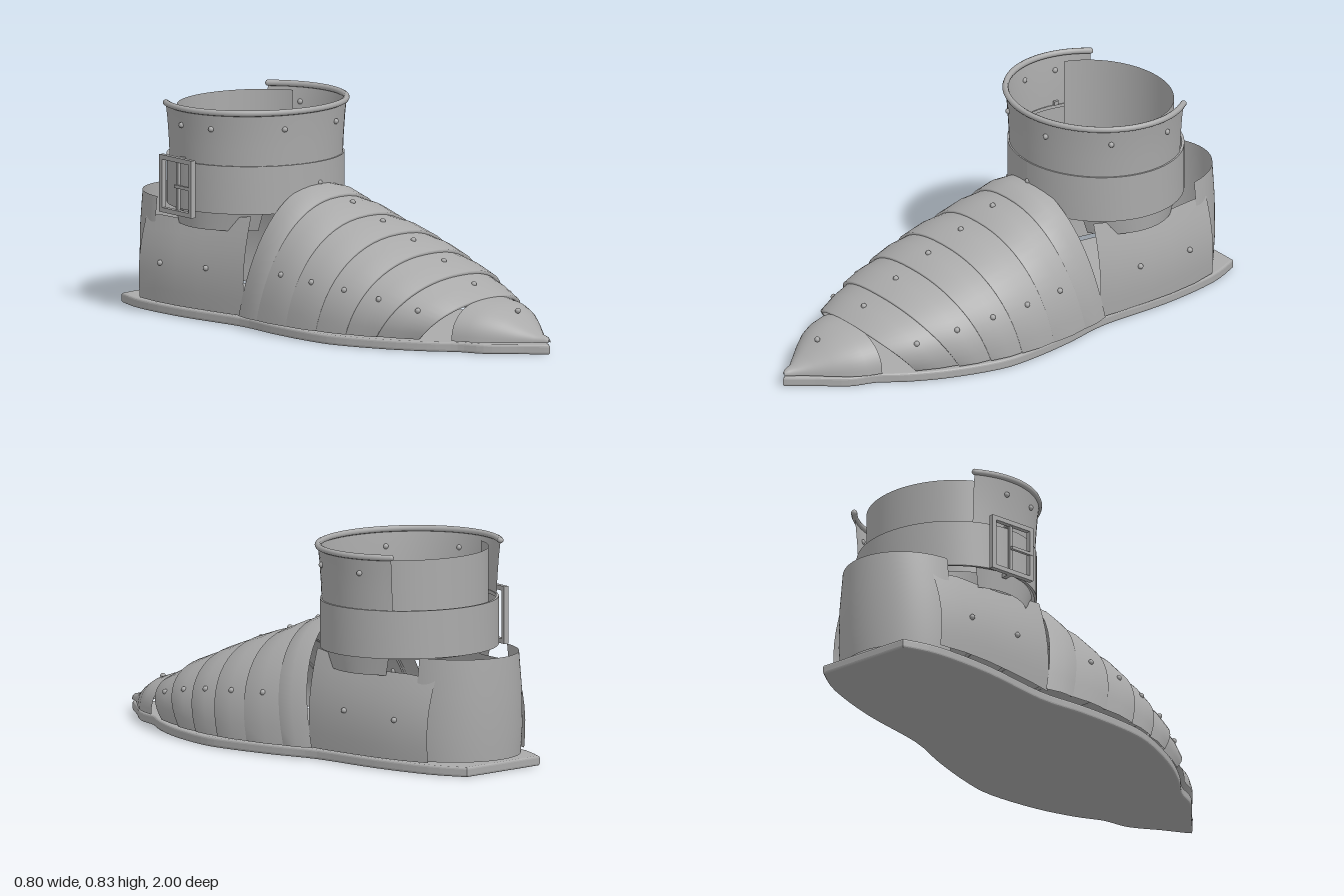
import * as THREE from 'three';

const steel = new THREE.MeshStandardMaterial({ color: 0xaaaaaa, side: THREE.DoubleSide });
steel.name = 'steel grey';

export function createModel() {
  const root = new THREE.Group();
  root.name = 'armoured shoe';

  const add = (geometry, name, parent = root) => {
    const mesh = new THREE.Mesh(geometry, steel);
    mesh.name = name;
    parent.add(mesh);
    return mesh;
  };

  // Smooth sheet through rows of points
  const loft = (rows) => {
    const n = rows[0].length, index = [];
    for (let i = 0; i < rows.length - 1; i++)
      for (let j = 0; j < n - 1; j++) {
        const a = i * n + j, b = a + n;
        index.push(a, b, a + 1, b, b + 1, a + 1);
      }
    const g = new THREE.BufferGeometry().setFromPoints(rows.flat());
    g.setIndex(index);
    g.computeVertexNormals();
    return g;
  };

  const rivetGeometry = new THREE.SphereGeometry(0.011, 10, 6);
  const rivet = (p) => add(rivetGeometry, 'rivet').position.copy(p);

  // Leaning arch over the foot: crown z, foot z, half width, crown height
  const BASE = 0.045;
  const archPoint = ([zt, zb, w, h], angle, n = 2.3) => {
    const c = Math.cos(angle), s = Math.max(0, Math.sin(angle));
    const f = Math.pow(s, 2 / n);
    return new THREE.Vector3(w * Math.sign(c) * Math.pow(Math.abs(c), 2 / n),
      BASE + (h - BASE) * f, zb + (zt - zb) * f);
  };
  const arch = (a) => Array.from({ length: 29 }, (_, i) => archPoint(a, Math.PI * i / 28));

  // Sole
  const side = [[0.19, -0.99], [0.25, -0.85], [0.29, -0.6], [0.30, -0.3], [0.345, -0.1], [0.375, 0.1],
    [0.375, 0.25], [0.32, 0.45], [0.25, 0.6], [0.185, 0.7], [0.15, 0.8], [0.07, 0.9], [0.018, 0.97], [0, 0.992]];
  const curve = new THREE.SplineCurve(side.map(([x, z]) => new THREE.Vector2(x, -z))).getPoints(52);
  const outline = [...curve, ...curve.slice(0, -1).reverse().map((p) => new THREE.Vector2(-p.x, p.y))];
  const sole = new THREE.ExtrudeGeometry(new THREE.Shape(outline),
    { depth: 0.02, bevelThickness: 0.009, bevelSize: 0.008, bevelSegments: 3 });
  sole.rotateX(-Math.PI / 2).translate(0, 0.009, 0);
  add(sole, 'sole');

  // Pointed toe cap
  const toe = [[0.69, 0.212, 0.187], [0.75, 0.193, 0.178], [0.80, 0.165, 0.162], [0.85, 0.125, 0.135],
    [0.90, 0.08, 0.102], [0.95, 0.035, 0.075], [0.985, 0.018, 0.068], [1.0, 0.006, 0.058]];
  add(loft(toe.map(([z, w, h]) => arch([z, z, w, h]))), 'toe cap');
  rivet(new THREE.Vector3(0, 0.152, 0.84));

  // Overlapping foot lames, toe to ankle
  const edges = [[0.70, 0.575, 0.27, 0.19], [0.555, 0.417, 0.338, 0.267], [0.395, 0.29, 0.372, 0.332],
    [0.245, 0.155, 0.39, 0.39], [0.085, 0, 0.387, 0.442], [-0.06, -0.17, 0.36, 0.50], [-0.18, -0.29, 0.325, 0.53]];
  for (let i = 0; i < 6; i++) {
    const front = edges[i], next = edges[i + 1];
    const last = i === 5;
    const back = last ? next : [next[0] - 0.02, next[1] - 0.02, next[2] - 0.006, next[3] - 0.008];
    const mid = front.map((v, k) => (v + back[k]) / 2 * (k > 1 ? 1.02 : 1));
    const lip = [front[0] - 0.004, front[1] - 0.004, front[2] - 0.012, front[3] - 0.012];
    add(loft([lip, front, mid, back].map(arch)), 'foot lame');
    const crown = archPoint(mid, Math.PI / 2);
    if (last) crown.set(0, 0.533, -0.165);
    rivet(crown);
    if (!last) {
      const a = 0.58 - i * 0.045;
      rivet(archPoint(mid, a));
      rivet(archPoint(mid, Math.PI - a));
    }
  }

  // Upright curved plates round the ankle; angle 0 faces forward
  const ring = (angle, y, rx, rz, cz = -0.49) =>
    new THREE.Vector3(rx * Math.sin(angle), y, cz + rz * Math.cos(angle));
  const band = (from, to, levels, cz, n = 48) => loft(levels.map(([y, rx, rz]) =>
    Array.from({ length: n + 1 }, (_, i) => ring(from + (to - from) * i / n, y, rx, rz, cz))));

  const END = 2.2;
  add(band(-END, END, [[0.60, 0.345, 0.322], [0.68, 0.349, 0.325], [0.76, 0.356, 0.329], [0.82, 0.364, 0.334]]), 'front cuff');
  add(band(1.85, 2 * Math.PI - 1.85, [[0.42, 0.318, 0.285], [0.805, 0.318, 0.285]]), 'rear cuff');
  const rimPath = new THREE.CatmullRomCurve3(
    Array.from({ length: 41 }, (_, i) => ring(-END + 2 * END * i / 40, 0.821, 0.364, 0.332)));
  add(new THREE.TubeGeometry(rimPath, 80, 0.012, 8), 'cuff rim');
  for (const end of [-END, END])
    add(new THREE.SphereGeometry(0.012, 10, 8), 'rim end').position.copy(ring(end, 0.821, 0.364, 0.332));
  for (const a of [-1.78, -1.33, -0.48, 0.29, 1.06, 1.81]) rivet(ring(a, 0.755, 0.357, 0.331));

  // Ankle strap with thin closed edges
  add(band(0, 2 * Math.PI, [[0.43, 0.342, 0.318], [0.43, 0.353, 0.328]], -0.49, 64), 'strap lower edge');
  add(band(0, 2 * Math.PI, [[0.43, 0.353, 0.328], [0.615, 0.353, 0.328]], -0.49, 64), 'ankle strap');
  add(band(0, 2 * Math.PI, [[0.615, 0.353, 0.328], [0.615, 0.342, 0.318]], -0.49, 64), 'strap upper edge');

  // Paired plates on both sides of the heel
  const plate = [[-0.27, 0.315, 0.425], [-0.36, 0.318, 0.41], [-0.5, 0.315, 0.385],
    [-0.62, 0.308, 0.375], [-0.74, 0.29, 0.375], [-0.85, 0.258, 0.362]];
  for (const s of [-1, 1]) {
    add(band(s * 0.72, s * 2.15, [[0.36, 0.325, 0.27], [0.44, 0.332, 0.31]], -0.49, 20), 'ankle skirt');
    add(loft(plate.map(([z, x, top]) => Array.from({ length: 7 }, (_, j) => {
      const t = j / 6;
      return new THREE.Vector3(s * (x + 0.012 * Math.sin(t * Math.PI) - 0.04 * t * t), BASE + (top - BASE) * t, z);
    }))), 'heel side plate');
    rivet(new THREE.Vector3(s * 0.322, 0.21, -0.46));
    rivet(new THREE.Vector3(s * 0.302, 0.20, -0.71));
  }

  // Rounded heel counter
  add(band(1.85, 2 * Math.PI - 1.85, [[BASE, 0.262, 0.29], [0.15, 0.268, 0.296],
    [0.3, 0.262, 0.297], [0.44, 0.245, 0.292]], -0.70), 'heel counter');

  // Buckle on the outer side of the strap
  const buckle = new THREE.Group();
  buckle.name = 'buckle';
  const bar = (w, h, d, x, y, z, name) =>
    add(new THREE.BoxGeometry(w, h, d), name, buckle).position.set(x, y, z);
  for (const s of [-1, 1]) {
    bar(0.02, 0.22, 0.018, 0, 0, s * 0.092, 'buckle upright');
    bar(0.02, 0.018, 0.2, 0, s * 0.102, 0, 'buckle crossbar');
    bar(0.04, 0.016, 0.018, 0.024, s * 0.102, 0, 'buckle lug');
  }
  bar(0.012, 0.2, 0.012, 0.006, 0, 0, 'buckle post');
  bar(0.012, 0.012, 0.1, -0.006, 0, 0.045, 'buckle pin');
  buckle.position.set(-0.372, 0.522, -0.56);
  buckle.rotation.y = -0.2;
  root.add(buckle);

  return root;
}
